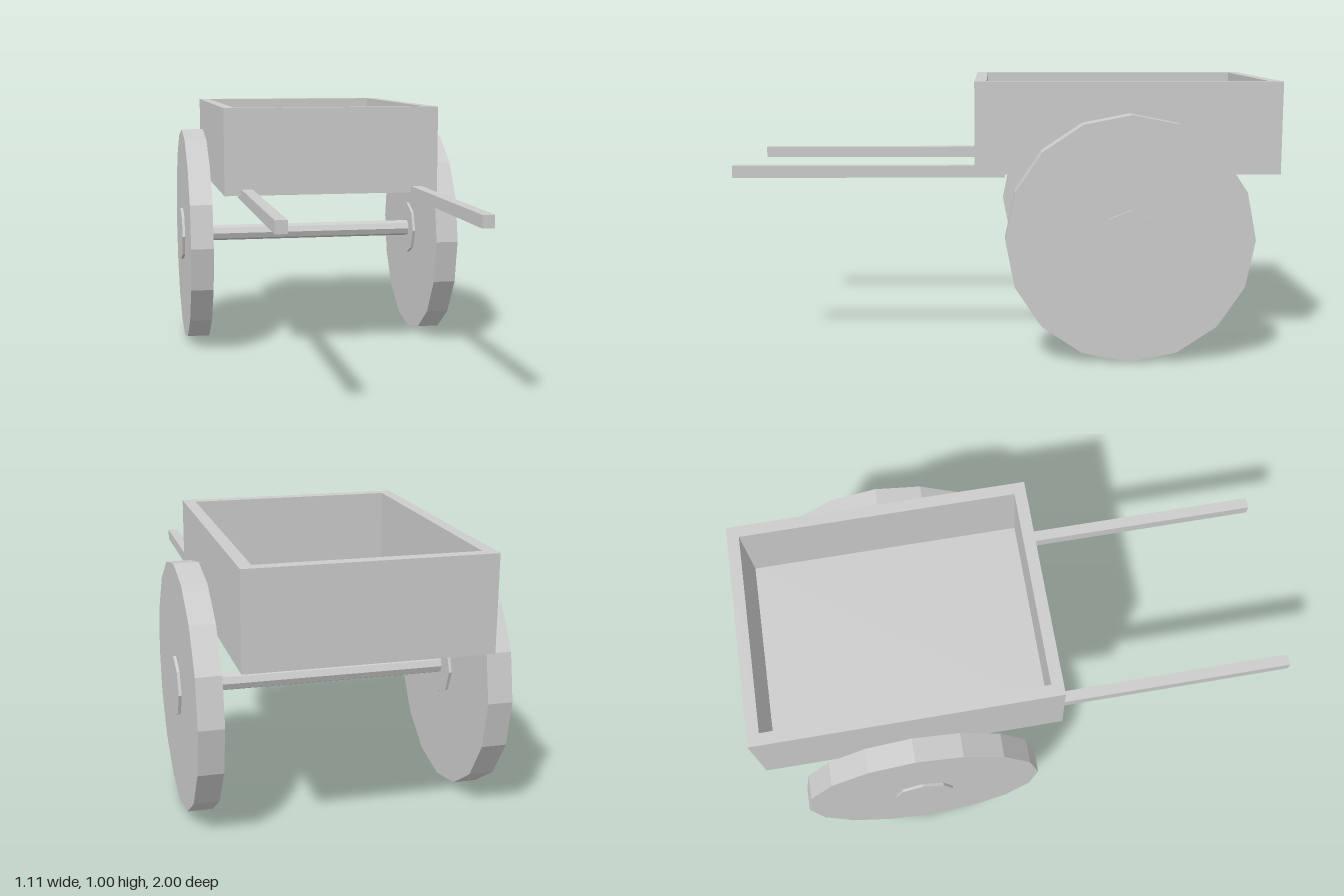
import * as THREE from 'three';

const material = new THREE.MeshStandardMaterial({ color: 0xcccccc, flatShading: true });

function add(parent, name, geometry, x, y, z) {
  const mesh = new THREE.Mesh(geometry, material);
  mesh.name = name;
  mesh.position.set(x, y, z);
  parent.add(mesh);
  return mesh;
}

// Cylinder lying along x
const roller = (radius, width, sides) =>
  new THREE.CylinderGeometry(radius, radius, width, sides).rotateZ(Math.PI / 2);

const rectangle = (Type, w, h) => new Type([
  new THREE.Vector2(-w / 2, -h / 2), new THREE.Vector2(w / 2, -h / 2),
  new THREE.Vector2(w / 2, h / 2), new THREE.Vector2(-w / 2, h / 2),
]);

export function createModel() {
  const cart = new THREE.Group();
  cart.name = 'handcart';

  const width = 0.84, length = 1.11, height = 0.335, wall = 0.044;
  const base = 0.665, middleZ = -0.445, wheelRadius = 0.445;

  // Open tray: four walls around an inset floor
  const tray = new THREE.Group();
  tray.name = 'tray';
  cart.add(tray);
  const frame = rectangle(THREE.Shape, width, length);
  frame.holes.push(rectangle(THREE.Path, width - 2 * wall, length - 2 * wall));
  const walls = new THREE.ExtrudeGeometry(frame, { depth: height, bevelEnabled: false });
  add(tray, 'trayWalls', walls.rotateX(-Math.PI / 2), 0, base, middleZ);
  const floor = new THREE.BoxGeometry(width - 2 * wall, wall, length - 2 * wall);
  add(tray, 'trayFloor', floor, 0, base + wall / 2, middleZ);

  // Axle between the hubs
  add(cart, 'axle', roller(0.033, 0.9, 8), 0, wheelRadius, middleZ);

  // Wheels, hubs and pull handles on both sides
  for (const [side, s] of [['left', 1], ['right', -1]]) {
    const wheel = new THREE.Group();
    wheel.name = side + 'Wheel';
    wheel.position.set(s * 0.498, wheelRadius, middleZ);
    cart.add(wheel);
    add(wheel, side + 'WheelDisc', roller(wheelRadius, 0.089, 16), 0, 0, 0);
    add(wheel, side + 'Hub', roller(0.11, 0.11, 8), 0, 0, 0);

    add(cart, side + 'Handle', new THREE.BoxGeometry(0.042, 0.044, 1), s * 0.335, 0.668, 0.5);
  }
  return cart;
}
